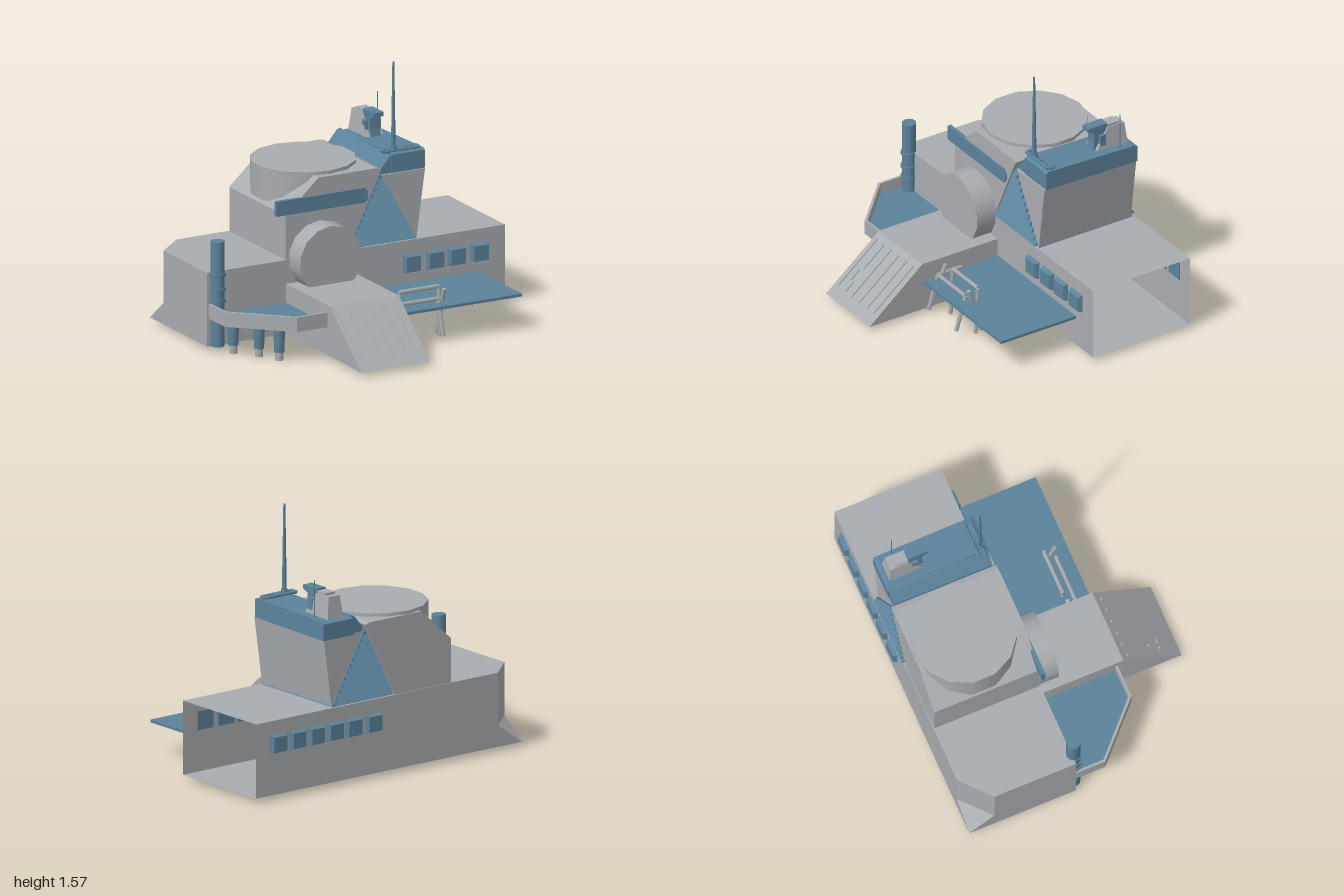
import * as THREE from 'three';

export function createModel() {
  const root = new THREE.Group();
  const grey = new THREE.MeshStandardMaterial({ color: 0xa9acb0, side: THREE.DoubleSide });
  grey.name = 'hullGrey';
  const blue = new THREE.MeshStandardMaterial({ color: 0x5c839b, side: THREE.DoubleSide });
  blue.name = 'steelBlue';

  const add = (name, geo, mat, parent = root) => {
    const m = new THREE.Mesh(geo, mat);
    m.name = name;
    parent.add(m);
    return m;
  };
  const group = (name) => {
    const g = new THREE.Group();
    g.name = name;
    root.add(g);
    return g;
  };
  // Box from its lowest and highest corner
  const box = (name, a, b, mat, parent) => {
    const g = new THREE.BoxGeometry(b[0] - a[0], b[1] - a[1], b[2] - a[2]);
    g.translate((a[0] + b[0]) / 2, (a[1] + b[1]) / 2, (a[2] + b[2]) / 2);
    return add(name, g, mat, parent);
  };
  const extrude = (pts, depth) => new THREE.ExtrudeGeometry(
    new THREE.Shape(pts.map(p => new THREE.Vector2(...p))), { depth, bevelEnabled: false });
  // Profile in x,y running from z0 to z1
  const prismZ = (name, pts, z0, z1, mat, parent) =>
    add(name, extrude(pts, z1 - z0).translate(0, 0, z0), mat, parent);
  // Profile in z,y running from x0 to x1
  const prismX = (name, pts, x0, x1, mat, parent) =>
    add(name, extrude(pts, x1 - x0).rotateY(-Math.PI / 2).translate(x1, 0, 0), mat, parent);
  // Outline in x,z between two heights
  const prismY = (name, pts, y0, y1, mat, parent) =>
    add(name, extrude(pts, y1 - y0).rotateX(Math.PI / 2).translate(0, y1, 0), mat, parent);
  // Round bar between two points
  const rod = (name, a, b, r0, r1, mat, parent, sides = 8) => {
    const p = new THREE.Vector3(...a), q = new THREE.Vector3(...b);
    const m = add(name, new THREE.CylinderGeometry(r1, r0, p.distanceTo(q), sides), mat, parent);
    m.position.copy(p).add(q).multiplyScalar(0.5);
    m.quaternion.setFromUnitVectors(new THREE.Vector3(0, 1, 0), q.sub(p).normalize());
    return m;
  };
  // Flat faces, each fanned from its first corner
  const faces = (list) => {
    const pos = [];
    for (const f of list)
      for (let i = 1; i < f.length - 1; i++) pos.push(...f[0], ...f[i], ...f[i + 1]);
    const g = new THREE.BufferGeometry();
    g.setAttribute('position', new THREE.Float32BufferAttribute(pos, 3));
    g.computeVertexNormals();
    return g;
  };

  // Long hull: open at the +x end, one cut corner at the rear
  const T = 0.49, B = 0.04, F = -0.1, K = -0.78, M = 0.17;
  add('hull', faces([
    [[1, T, F], [1, T, K], [-0.82, T, K], [-1, T, -0.62], [-1, T, F]],
    [[1, B, K], [1, B, F], [-1, B, F], [-1, B, K]],
    [[-1, B, F], [1, B, F], [1, T, F], [-1, T, F]],
    [[1, B, K], [-1, B, K], [-0.82, M, K], [-0.82, T, K], [1, T, K]],
    [[-1, B, F], [-1, T, F], [-1, T, -0.62], [-1, M, -0.62], [-1, B, K]],
    [[-0.82, M, K], [-1, M, -0.62], [-1, T, -0.62], [-0.82, T, K]],
    [[-1, B, K], [-1, M, -0.62], [-0.82, M, K]],
  ]), grey);
  box('innerBulkhead', [-0.02, 0.045, -0.775], [0, 0.485, -0.105], blue);

  // Windows: bevelled panes on both long sides
  const windows = group('windows');
  const pane = (x, w, back) => {
    const g = new THREE.CylinderGeometry(0.4 * Math.SQRT2, 0.5 * Math.SQRT2, 1, 4, 1).toNonIndexed();
    g.rotateY(Math.PI / 4).rotateX(Math.PI / 2);
    g.computeVertexNormals();
    g.scale(w, 0.115, 0.03);
    if (back) g.rotateY(Math.PI);
    g.translate(x, 0.348, back ? -0.793 : -0.087);
    add('window', g, blue, windows);
  };
  [0.375, 0.53, 0.675, 0.83].forEach(x => pane(x, 0.12, false));
  [0.12, 0.27, 0.41, 0.55, 0.69, 0.835].forEach(x => pane(x, 0.12, true));

  // Upper block with drums
  prismZ('upperBlock', [[-0.47, 0.48], [-0.04, 0.48], [-0.04, 0.51], [0.17, 0.95],
    [0.14, 0.96], [-0.25, 0.96], [-0.47, 0.76]], -0.775, -0.105, grey);
  const topDrum = add('topDrum', new THREE.CylinderGeometry(0.315, 0.315, 0.2, 14), grey);
  topDrum.position.set(-0.155, 0.88, -0.455);
  const frontDrum = add('frontDrum', new THREE.CylinderGeometry(0.21, 0.21, 0.16, 14).rotateX(Math.PI / 2), grey);
  frontDrum.position.set(-0.24, 0.49, -0.05);
  prismZ('sideBar', [[-0.535, 0.765], [0.06, 0.765], [0.08, 0.79], [0.08, 0.83], [0.06, 0.855], [-0.535, 0.855]],
    -0.12, -0.095, blue);

  // Triangular louvres, front and rear
  const louvres = group('louvres');
  prismZ('louvreCore', [[-0.04, 0.49], [0.415, 0.49], [0.17, 0.92]], -0.765, -0.115, blue, louvres);
  for (let i = 0; i < 11; i++) {
    const y = 0.5 + i * 0.036, t = (y + 0.02 - 0.49) / 0.43;
    const x0 = -0.04 + 0.21 * t, x1 = 0.415 - 0.245 * t;
    prismX('slat', [[-0.115, y], [-0.09, y], [-0.115, y + 0.032]], x0, x1, blue, louvres);
    prismX('slat', [[-0.765, y], [-0.765, y + 0.032], [-0.79, y]], x0, x1, blue, louvres);
  }

  // Bridge with its leaning side and blue roof
  prismZ('bridge', [[0.41, 0.48], [0.47, 0.91], [0.175, 0.91]], -0.755, -0.11, grey);
  prismX('bridgeRoof', [[-0.12, 0.91], [-0.12, 1.02], [-0.14, 1.03], [-0.74, 1.01], [-0.76, 1.0], [-0.76, 0.9]],
    0.25, 0.475, blue);
  prismZ('roofChamfer', [[0.18, 0.9], [0.26, 0.9], [0.26, 1.02], [0.24, 1.01], [0.18, 0.94]], -0.755, -0.125, blue);
  const pipes = group('roofPipes');
  for (const z of [-0.15, -0.19])
    rod('pipe', [0.22, 1.035, z], [0.45, 1.035, z], 0.011, 0.011, blue, pipes);
  for (const x of [0.22, 0.34, 0.45])
    rod('pipeLink', [x, 1.035, -0.15], [x, 1.035, -0.19], 0.011, 0.011, blue, pipes);

  // Roof equipment
  const cabin = new THREE.BoxGeometry(0.12, 0.15, 0.23).toNonIndexed();
  const cp = cabin.attributes.position;
  for (let i = 0; i < cp.count; i++) if (cp.getY(i) > 0) {
    cp.setX(i, cp.getX(i) * 0.7);
    cp.setZ(i, cp.getZ(i) > 0 ? 0.015 : -0.1);
  }
  cabin.computeVertexNormals();
  add('roofCabin', cabin, grey).position.set(0.36, 1.07, -0.615);
  prismX('searchlight', [[-0.47, 1.17], [-0.47, 1.145], [-0.51, 1.13], [-0.51, 1.06], [-0.5, 1.01],
    [-0.55, 1.01], [-0.59, 1.09], [-0.6, 1.17]], 0.33, 0.395, blue);
  box('searchlightBracket', [0.31, 1.04, -0.58], [0.415, 1.11, -0.54], blue);
  box('cabinCap', [0.325, 1.14, -0.68], [0.395, 1.16, -0.6], grey);
  rod('mast', [0.285, 1.02, -0.16], [0.285, 1.575, -0.16], 0.015, 0.006, blue);
  rod('mastFoot', [0.285, 1.02, -0.16], [0.285, 1.06, -0.16], 0.025, 0.018, blue);
  rod('aerial', [0.455, 1.01, -0.65], [0.455, 1.24, -0.65], 0.003, 0.003, blue, root, 5);

  // Front ramp with ribs on its slope
  prismX('ramp', [[-0.1, 0.04], [0.8, 0.04], [0.43, 0.345], [-0.1, 0.345]], -0.47, -0.01, grey);
  const ribs = group('rampRibs');
  const slopeZ = y => 0.8 - (y - 0.04) * 0.37 / 0.305;
  const rib = (x0, x1, y0, y1) => prismX('rib', [[slopeZ(y0) - 0.01, y0], [slopeZ(y0) + 0.009, y0],
    [slopeZ(y1) + 0.009, y1], [slopeZ(y1) - 0.01, y1]], x0, x1, grey, ribs);
  [-0.29, -0.21, -0.13, -0.06].forEach(x => rib(x - 0.008, x + 0.008, 0.09, 0.32));
  rib(-0.445, -0.43, 0.09, 0.32);
  rib(-0.37, -0.355, 0.2, 0.32);
  rib(-0.42, -0.35, 0.09, 0.14);
  rib(-0.4, -0.38, 0.14, 0.19);

  // Side decks
  box('leftDeck', [-0.01, 0.215, -0.1], [0.82, 0.232, 0.425], blue);
  prismY('rightDeck', [[-0.98, -0.1], [-0.47, -0.1], [-0.47, 0.39], [-0.67, 0.39], [-0.98, 0.09]], 0.21, 0.23, blue);
  prismY('deckRim', [[-0.99, -0.1], [-0.975, -0.1], [-0.975, 0.085], [-0.668, 0.378], [-0.47, 0.378],
    [-0.47, 0.393], [-0.675, 0.393], [-0.99, 0.092]], 0.21, 0.3, grey);

  // Deck column with bands
  const column = group('deckColumn');
  rod('columnPipe', [-0.935, 0.04, -0.09], [-0.935, 0.68, -0.09], 0.042, 0.042, blue, column, 14);
  for (const y of [0.31, 0.38, 0.47])
    rod('band', [-0.935, y, -0.09], [-0.935, y + 0.018, -0.09], 0.05, 0.05, blue, column, 14);

  // Deck legs with grey feet
  const legs = group('deckLegs');
  for (const [x, z] of [[-0.88, 0], [-0.78, 0.13], [-0.715, 0.255]]) {
    rod('leg', [x, 0.06, z], [x, 0.21, z], 0.03, 0.036, blue, legs, 10);
    rod('foot', [x, 0.01, z], [x, 0.07, z], 0.024, 0.024, grey, legs, 10);
  }

  // Two crossed handrail frames on the other deck
  const rails = group('handrails');
  const frame = (x0, x1, top, foot) => {
    const path = [[x0, ...foot], [x0, ...top], [x1, ...top], [x1, ...foot]];
    for (let i = 0; i < 3; i++) rod('rail', path[i], path[i + 1], 0.013, 0.013, grey, rails, 6);
  };
  frame(0.08, 0.345, [0.31, 0.275], [0.01, 0.29]);
  frame(0.012, 0.305, [0.255, 0.335], [0.04, 0.4]);
  rod('rail', [0.012, 0.255, 0.335], [0.012, 0.255, 0.17], 0.013, 0.013, grey, rails, 6);
  rod('rail', [0.012, 0.31, 0.28], [0.012, 0.04, 0.4], 0.013, 0.013, grey, rails, 6);
  rod('rail', [0.012, 0.195, 0.35], [0.345, 0.195, 0.29], 0.01, 0.01, grey, rails, 6);
  rod('rail', [0.345, 0.31, 0.34], [0.345, 0.02, 0.25], 0.013, 0.013, grey, rails, 6);

  return root;
}
